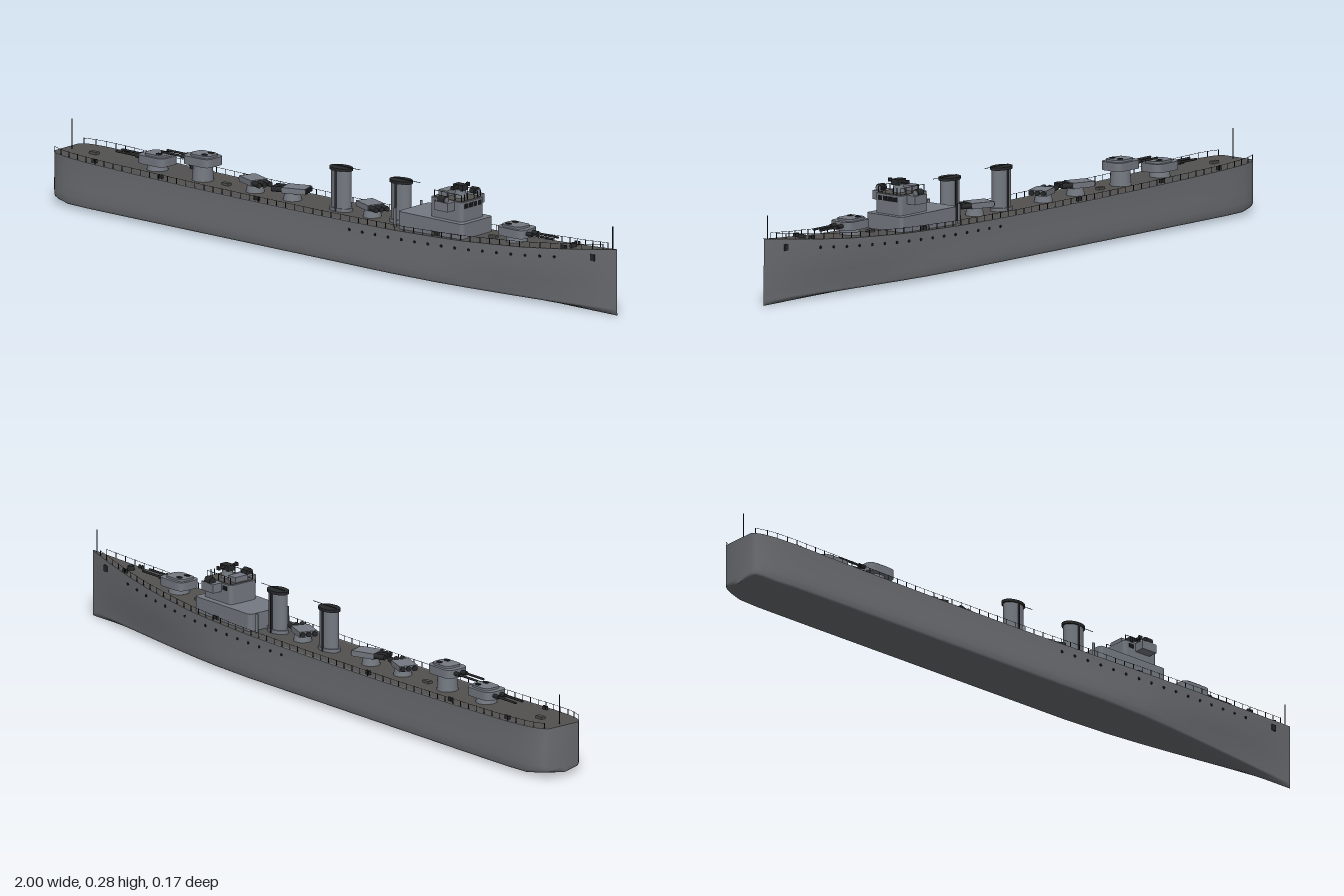
import * as THREE from 'three';
import { mergeGeometries } from 'three/addons/utils/BufferGeometryUtils.js';

const mat = (name, color, side = THREE.FrontSide) => {
  const m = new THREE.MeshStandardMaterial({ color, side });
  m.name = name;
  return m;
};

// piecewise-linear lookup through [x, value] pairs
function lookup(table, x) {
  for (let i = 1; i < table.length; i++) {
    const [x0, v0] = table[i - 1], [x1, v1] = table[i];
    if (x <= x1) return v0 + (v1 - v0) * Math.max(0, (x - x0) / (x1 - x0));
  }
  return table[table.length - 1][1];
}
const SHEER = [[-1, 0.145], [-0.8, 0.139], [-0.4, 0.133], [0, 0.132], [0.3, 0.136], [0.5, 0.143], [0.7, 0.155], [0.85, 0.169], [1, 0.187]];
const BEAM = [[-1, 0.052], [-0.99, 0.063], [-0.97, 0.072], [-0.93, 0.08], [-0.86, 0.085], [-0.7, 0.086], [0.25, 0.086], [0.4, 0.082],
  [0.5, 0.077], [0.6, 0.068], [0.7, 0.056], [0.8, 0.041], [0.9, 0.0225], [0.96, 0.01], [1, 0.0015]];
const deckY = (x) => lookup(SHEER, x);
const beam = (x) => lookup(BEAM, x);

// skin a list of equal-length point rows
function loft(rows) {
  const n = rows[0].length, index = [];
  for (let i = 0; i < rows.length - 1; i++) {
    for (let j = 0; j < n - 1; j++) {
      const a = i * n + j, c = a + n;
      index.push(a, a + 1, c, a + 1, c + 1, c);
    }
  }
  const g = new THREE.BufferGeometry();
  g.setAttribute('position', new THREE.Float32BufferAttribute(rows.flat(2), 3));
  g.setIndex(index);
  g.computeVertexNormals();
  return g;
}

export function createModel() {
  const hullGrey = mat('hull grey', 0x6c6e72);
  const deckGrey = mat('deck grey', 0x525150);
  const paleGrey = mat('superstructure grey', 0x747981);
  const dark = mat('dark fittings', 0x27282a);
  const glass = mat('window black', 0x151618);
  const ship = new THREE.Group();
  ship.name = 'warship';

  const add = (name, geo, material, x = 0, y = 0, z = 0, parent = ship) => {
    const m = new THREE.Mesh(geo, material);
    m.name = name;
    m.position.set(x, y, z);
    parent.add(m);
    return m;
  };
  const box = (w, h, d) => new THREE.BoxGeometry(w, h, d);
  const cyl = (r0, r1, h, n = 16) => new THREE.CylinderGeometry(r0, r1, h, n);
  const barrel = (r, len) => cyl(r, r, len, 10).rotateZ(Math.PI / 2);
  const sides = [1, -1];

  // rounded-corner plan extruded upwards
  const slab = (l, w, h, r) => {
    const s = new THREE.Shape();
    const a = l / 2, b = w / 2;
    s.moveTo(-a + r, -b).lineTo(a - r, -b).quadraticCurveTo(a, -b, a, -b + r).lineTo(a, b - r)
      .quadraticCurveTo(a, b, a - r, b).lineTo(-a + r, b).quadraticCurveTo(-a, b, -a, b - r)
      .lineTo(-a, -b + r).quadraticCurveTo(-a, -b, -a + r, -b);
    return new THREE.ExtrudeGeometry(s, { depth: h, bevelEnabled: false, curveSegments: 5 }).rotateX(-Math.PI / 2);
  };

  // hull: V bottom, hard bilge, upright sides, finer below at the bow
  const xs = [-1];
  for (const [x] of BEAM) xs.push(x);
  for (let x = -0.5; x < 0.2; x += 0.2) xs.push(x);
  xs.sort((a, b) => a - b);
  const hullRows = xs.map((x, i) => {
    const w = i === 0 ? 0 : beam(x), y = deckY(x);
    const t = Math.max(0, (x - 0.35) / 0.65);
    const b = w * (1 - 0.4 * t), lift = x < -0.93 ? (-0.93 - x) * 0.15 : 0;
    const half = [[w, y], [w * 0.985, y * 0.75], [(w + b) / 2, y * 0.45], [b, 0.035], [b * 0.985, 0.016 + lift], [b * 0.94, 0.01 + lift], [b * 0.5, 0.005 + lift]];
    return [...half.map(([z, h]) => [x, h, z]), [x, lift, 0], ...half.reverse().map(([z, h]) => [x, h, -z])];
  });
  add('hull', loft(hullRows), hullGrey);

  // deck planking with a pale waterway down each edge
  const inner = (x) => beam(x) * lookup([[-0.9, 0.96], [-0.6, 0.93], [0.1, 0.91], [0.27, 0.99], [1, 1]], x);
  const strip = (from, to) => loft(xs.map((x) => [[x, deckY(x), from(x)], [x, deckY(x), to(x)]]));
  add('deck', strip((x) => -inner(x), inner), deckGrey);
  add('leftWaterway', strip(inner, beam), hullGrey);
  add('rightWaterway', strip((x) => -beam(x), (x) => -inner(x)), hullGrey);

  // railings, portholes, bollards and anchors on both sides
  for (const s of sides) {
    const posts = [], line = [], ports = [];
    for (let x = -0.99; x < 0.99; x += 0.033) {
      const z = s * beam(x) * 0.975, y = deckY(x);
      posts.push(box(0.0016, 0.016, 0.0016).translate(x, y + 0.008, z));
      line.push(new THREE.Vector3(x, y + 0.015, z));
    }
    const curve = new THREE.CatmullRomCurve3(line);
    posts.push(new THREE.TubeGeometry(curve, 120, 0.0006, 4));
    add('railing', mergeGeometries(posts), dark);
    for (let x = 0.1; x < 0.85; x += 0.047) {
      const y = deckY(x) - 0.023;
      ports.push(cyl(0.0042, 0.0042, 0.004, 10).rotateX(Math.PI / 2).translate(x, y, s * beam(x) * 0.985));
    }
    add('portholes', mergeGeometries(ports), glass);
    add('anchor', box(0.014, 0.018, 0.006), dark, 0.925, 0.155, s * 0.017);
    for (const x of [-0.84, -0.6, -0.25, 0.4, 0.83]) {
      for (const dx of [-0.006, 0.006]) add('bollard', cyl(0.004, 0.004, 0.01, 8), dark, x + dx, deckY(x) + 0.005, s * beam(x) * 0.8);
    }
    add('ventilator', cyl(0.004, 0.004, 0.055, 8), paleGrey, 0.24, deckY(0.24) + 0.027, s * 0.055);
  }
  add('bowStaff', cyl(0.0015, 0.0015, 0.064, 6), dark, 0.983, 0.217, 0);
  add('sternStaff', cyl(0.0015, 0.0015, 0.085, 6), dark, -0.98, 0.186, 0);

  // twin gun turrets, barrels along local +x
  const turret = (name, x, base, rot) => {
    const g = new THREE.Group();
    g.name = name;
    g.position.set(x, deckY(x), 0);
    g.rotation.y = rot;
    ship.add(g);
    add('pedestal', cyl(0.027, 0.03, base, 24), paleGrey, 0, base / 2, 0, g);
    add('gunHouse', slab(0.096, 0.072, 0.024, 0.022), paleGrey, 0, base, 0, g);
    add('houseRoof', slab(0.07, 0.054, 0.006, 0.018), paleGrey, -0.004, base + 0.024, 0, g);
    for (const s of sides) {
      add('barrel', barrel(0.0032, 0.1), dark, 0.09, base + 0.013, s * 0.012, g);
      add('barrelSleeve', barrel(0.006, 0.025), dark, 0.055, base + 0.013, s * 0.012, g);
      add('roofHatch', box(0.014, 0.004, 0.01), dark, -0.018, base + 0.031, s * 0.014, g);
    }
  };
  turret('foreTurret', 0.635, 0.017, 0);
  turret('upperAftTurret', -0.505, 0.045, Math.PI);
  turret('lowerAftTurret', -0.67, 0.017, Math.PI);

  // triple torpedo mounts, muzzles along local +x
  [[-0.315, -0.35], [-0.18, Math.PI + 0.35], [0.11, -0.35]].forEach(([x, rot]) => {
    const g = new THREE.Group();
    g.name = 'torpedoMount';
    g.position.set(x, deckY(x), 0);
    g.rotation.y = rot;
    ship.add(g);
    add('turntable', cyl(0.022, 0.026, 0.022, 20), paleGrey, 0, 0.011, 0, g);
    add('mountHousing', box(0.068, 0.016, 0.052), paleGrey, -0.012, 0.03, 0, g);
    for (const k of [-1, 0, 1]) add('torpedoTube', barrel(0.0075, 0.104), dark, 0.002, 0.03, k * 0.0175, g);
  });

  // oval funnels with dark caps, steam pipes and a thin yard
  for (const x of [-0.003, 0.215]) {
    const y = deckY(x), h = 0.248 - y, oval = (r, len) => cyl(r, r, len, 28).scale(1, 1, 0.68);
    add('funnel', oval(0.032, h), paleGrey, x, y + h / 2, 0);
    add('funnelBase', oval(0.037, 0.01), paleGrey, x, y + 0.005, 0);
    add('funnelCap', oval(0.037, 0.008), dark, x, 0.251, 0);
    for (const s of sides) add('steamPipe', cyl(0.003, 0.003, h, 8), dark, x, y + h / 2, s * 0.024);
    add('funnelYard', barrel(0.0008, 0.1), dark, x + 0.02, 0.257, 0);
  }

  // deckhouse and bridge
  add('deckhouse', slab(0.235, 0.13, 0.054, 0.012), paleGrey, 0.375, 0.131, 0);
  add('bridge', slab(0.115, 0.094, 0.055, 0.012), paleGrey, 0.418, 0.185, 0);
  add('bridgeRoof', slab(0.105, 0.084, 0.0015, 0.012), deckGrey, 0.418, 0.24, 0);
  for (const k of [-1.5, -0.5, 0.5, 1.5]) add('frontWindow', box(0.004, 0.013, 0.015), glass, 0.4745, 0.228, k * 0.0185);
  for (const s of sides) {
    for (const x of [0.385, 0.41, 0.435]) add('sideWindow', box(0.016, 0.012, 0.004), glass, x, 0.228, s * 0.0462);
    add('bridgeWing', box(0.05, 0.025, 0.03), paleGrey, 0.425, 0.2275, s * 0.062);
    add('lampStand', cyl(0.003, 0.003, 0.01, 8), dark, 0.425, 0.24, s * 0.067);
    add('searchlight', barrel(0.0115, 0.022), dark, 0.425, 0.245, s * 0.067);
    add('searchlightLens', barrel(0.0085, 0.003), paleGrey, 0.4365, 0.245, s * 0.067);
    for (const x of [0.37, 0.395, 0.42, 0.445, 0.468]) add('roofPost', box(0.0016, 0.019, 0.0016), dark, x, 0.25, s * 0.04);
    add('roofRail', box(0.098, 0.0012, 0.0012), dark, 0.419, 0.259, s * 0.04);
    for (const z of [0.014, 0.027]) add('frontPost', box(0.0016, 0.019, 0.0016), dark, 0.468, 0.25, s * z);
    add('rangefinderEye', box(0.01, 0.01, 0.006), dark, 0.43, 0.272, s * 0.032);
  }
  add('directorBase', cyl(0.014, 0.018, 0.024), paleGrey, 0.43, 0.252, 0);
  add('director', box(0.035, 0.016, 0.024), dark, 0.43, 0.27, 0);
  add('rangefinder', cyl(0.004, 0.004, 0.066, 12).rotateX(Math.PI / 2), dark, 0.43, 0.272, 0);
  add('chartTable', box(0.03, 0.016, 0.045), paleGrey, 0.385, 0.249, 0);

  // forecastle windlass and deck lockers
  add('windlass', cyl(0.009, 0.011, 0.012, 14), dark, 0.84, deckY(0.84) + 0.005, 0);
  for (const x of [-0.9, -0.42, 0.55]) add('deckLocker', box(0.025, 0.008, 0.014), deckGrey, x, deckY(x) + 0.003, 0);
  return ship;
}
